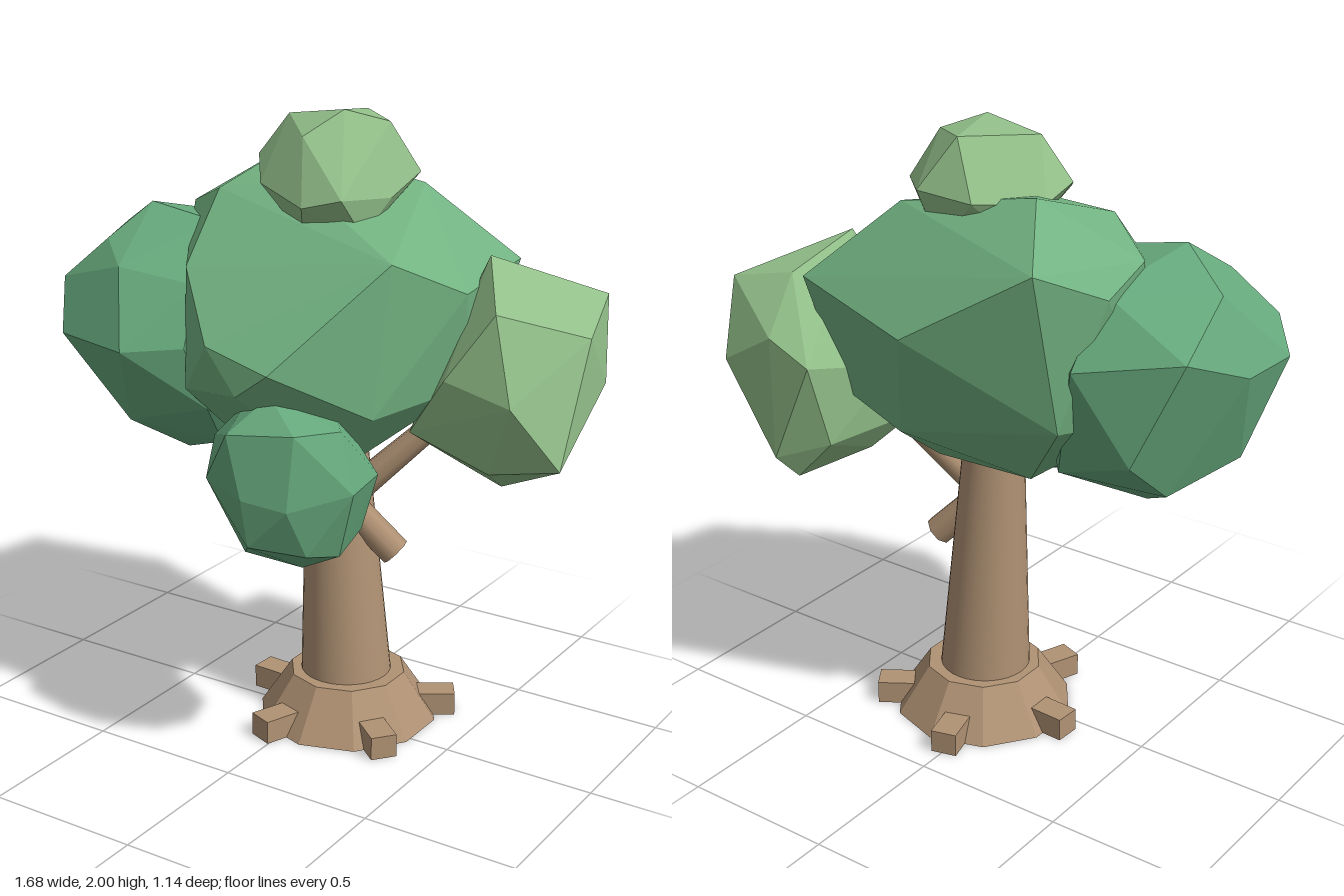
import * as THREE from 'three';
import { ConvexGeometry } from 'three/addons/geometries/ConvexGeometry.js';

const paint = (color, flatShading = false) => new THREE.MeshStandardMaterial({ color, flatShading });

export function createModel() {
  const tree = new THREE.Group();
  const bark = paint(0xb09274);
  const flatBark = paint(0xb09274, true);

  const add = (name, geometry, material, parent = tree) => {
    const mesh = new THREE.Mesh(geometry, material);
    mesh.name = name;
    parent.add(mesh);
    return mesh;
  };

  // Faceted clump of leaves: the hull around a few corner points
  const clump = (name, color, corners) =>
    add(name, new ConvexGeometry(corners.map((c) => new THREE.Vector3(...c))), paint(color, true));

  // Tapered round limb between two points
  const limb = (name, from, to, r0, r1, sides) => {
    const a = new THREE.Vector3(...from), b = new THREE.Vector3(...to);
    const dir = b.clone().sub(a);
    const mesh = add(name, new THREE.CylinderGeometry(r1, r0, dir.length(), sides), bark);
    mesh.position.copy(a).add(b).multiplyScalar(0.5);
    mesh.quaternion.setFromUnitVectors(new THREE.Vector3(0, 1, 0), dir.normalize());
  };

  // Leaf clumps
  clump('mainCanopy', 0x72b281, [
    [-0.38, 1.7, -0.45], [0, 1.47, -0.57], [0.49, 1.52, -0.42], [0.53, 1.5, 0], [0.51, 1.2, -0.05],
    [0.39, 1.61, 0.2], [0.04, 1.23, 0.49], [-0.08, 1.36, 0.47], [0.15, 1.31, 0.49], [-0.27, 1.54, 0.3],
    [-0.3, 1.74, 0.08], [-0.49, 1.66, -0.05], [-0.5, 1.6, -0.25], [-0.23, 1.84, -0.22],
    [0.24, 1.76, -0.25], [-0.07, 1.78, 0], [-0.23, 1.18, 0.37], [0.36, 1.15, 0.25],
    [-0.14, 0.9, 0.1], [0.2, 0.94, 0.2], [0.15, 0.94, -0.2], [-0.2, 0.95, -0.2],
    [0.4, 1.15, -0.35], [-0.4, 1.2, -0.35], [-0.42, 1.1, 0.1], [0.1, 1.12, -0.45],
  ]);
  clump('rightCanopy', 0x66a87c, [
    [-0.84, 1.37, 0.2], [-0.82, 1.36, 0], [-0.74, 1.45, -0.22], [-0.44, 1.4, -0.35], [-0.69, 1.29, 0.39],
    [-0.74, 1.45, 0.31], [-0.6, 1.58, 0.26], [-0.4, 1.29, 0.47], [-0.49, 1.52, 0.35],
    [-0.71, 1.58, 0.02], [-0.53, 1.68, 0.12], [-0.31, 1.64, 0.1], [-0.45, 1.6, -0.2],
    [-0.75, 1.06, 0.1], [-0.63, 0.98, -0.12], [-0.46, 0.86, 0.05], [-0.29, 0.92, 0.1],
    [-0.47, 1.03, 0.34], [-0.2, 1.1, 0.3], [-0.24, 1.3, 0.36], [-0.25, 1.48, 0.28],
    [-0.3, 1, -0.2], [-0.6, 1.12, -0.28], [-0.1, 1.2, 0],
  ]);
  clump('leftCanopy', 0x92bf89, [
    [0.53, 1.59, -0.14], [0.8, 1.455, -0.4], [0.84, 1.365, -0.2], [0.84, 1.2, -0.32], [0.84, 1.0, -0.02],
    [0.59, 0.87, -0.14], [0.43, 0.89, -0.2], [0.5, 0.87, -0.47], [0.64, 1.46, 0.03], [0.5, 1.25, 0.08],
    [0.72, 1.2, 0.08], [0.62, 0.96, 0.01], [0.38, 1.28, -0.54], [0.54, 1.34, -0.53], [0.75, 1.22, -0.51],
    [0.53, 0.95, -0.54], [0.38, 1.0, -0.45], [0.58, 1.5, -0.37], [0.32, 1.2, -0.2],
    [0.37, 1.06, 0.05], [0.33, 1.0, -0.1],
  ]);
  clump('topCanopy', 0x92bf89, [
    [-0.12, 1.97, -0.04], [0.09, 2, -0.02], [0.19, 1.96, -0.12], [0.05, 1.975, -0.22], [-0.06, 1.81, -0.3],
    [0.14, 1.82, -0.3], [0.27, 1.81, -0.17], [0.25, 1.75, -0.03], [0.18, 1.76, 0.14], [0.06, 1.73, 0.17],
    [0.02, 1.93, 0.1], [-0.12, 1.78, 0.12], [-0.22, 1.84, -0.02], [-0.21, 1.8, -0.14],
    [0.2, 1.64, 0.05], [0.02, 1.63, 0.1], [-0.12, 1.66, -0.15], [0.1, 1.65, -0.25],
  ]);
  clump('frontCanopy', 0x66a87c, [
    [0.1, 1.22, 0.4], [0.32, 1.14, 0.36], [0.25, 1.15, 0.5], [0.39, 0.97, 0.4], [0.33, 0.76, 0.38],
    [0.18, 0.68, 0.35], [0.02, 0.72, 0.42], [-0.05, 0.76, 0.28], [-0.09, 0.9, 0.4], [-0.13, 1.05, 0.36],
    [-0.02, 1.17, 0.34], [0.04, 1.13, 0.54], [0.11, 0.95, 0.57], [-0.04, 0.98, 0.53], [0.25, 0.93, 0.54],
    [0.12, 0.8, 0.55], [0.28, 0.78, 0.48], [0.12, 0.8, 0.13], [0.14, 1, 0.12], [0.37, 0.98, 0.23],
    [0.32, 0.8, 0.24], [-0.06, 1, 0.2], [0.2, 1.15, 0.2],
  ]);

  // Leaning trunk and two branch stubs
  limb('trunk', [0.085, 0.03, -0.065], [0.035, 1.03, -0.065], 0.155, 0.093, 32);
  limb('lowerBranch', [0.09, 0.76, -0.03], [0.25, 0.595, -0.085], 0.05, 0.05, 8);
  limb('upperBranch', [0.08, 0.75, -0.03], [0.32, 1.0, -0.14], 0.05, 0.04, 8);

  // Flared root collar, open underneath, with five square roots
  const base = new THREE.Group();
  base.name = 'rootBase';
  base.position.set(0.085, 0, -0.065);
  tree.add(base);
  const profile = [[0.15, 0.06], [0.15, 0], [0.295, 0], [0.19, 0.16], [0.12, 0.16]]
    .map((p) => new THREE.Vector2(...p));
  add('rootCollar', new THREE.LatheGeometry(profile, 10), flatBark, base);
  for (let i = 0; i < 5; i++) {
    const root = new THREE.Group();
    root.name = 'root' + (i + 1);
    root.rotation.y = (33 + i * 72) * Math.PI / 180;
    base.add(root);
    add('rootBlock', new THREE.BoxGeometry(0.15, 0.076, 0.085), flatBark, root).position.set(0.278, 0.038, 0);
  }
  return tree;
}
